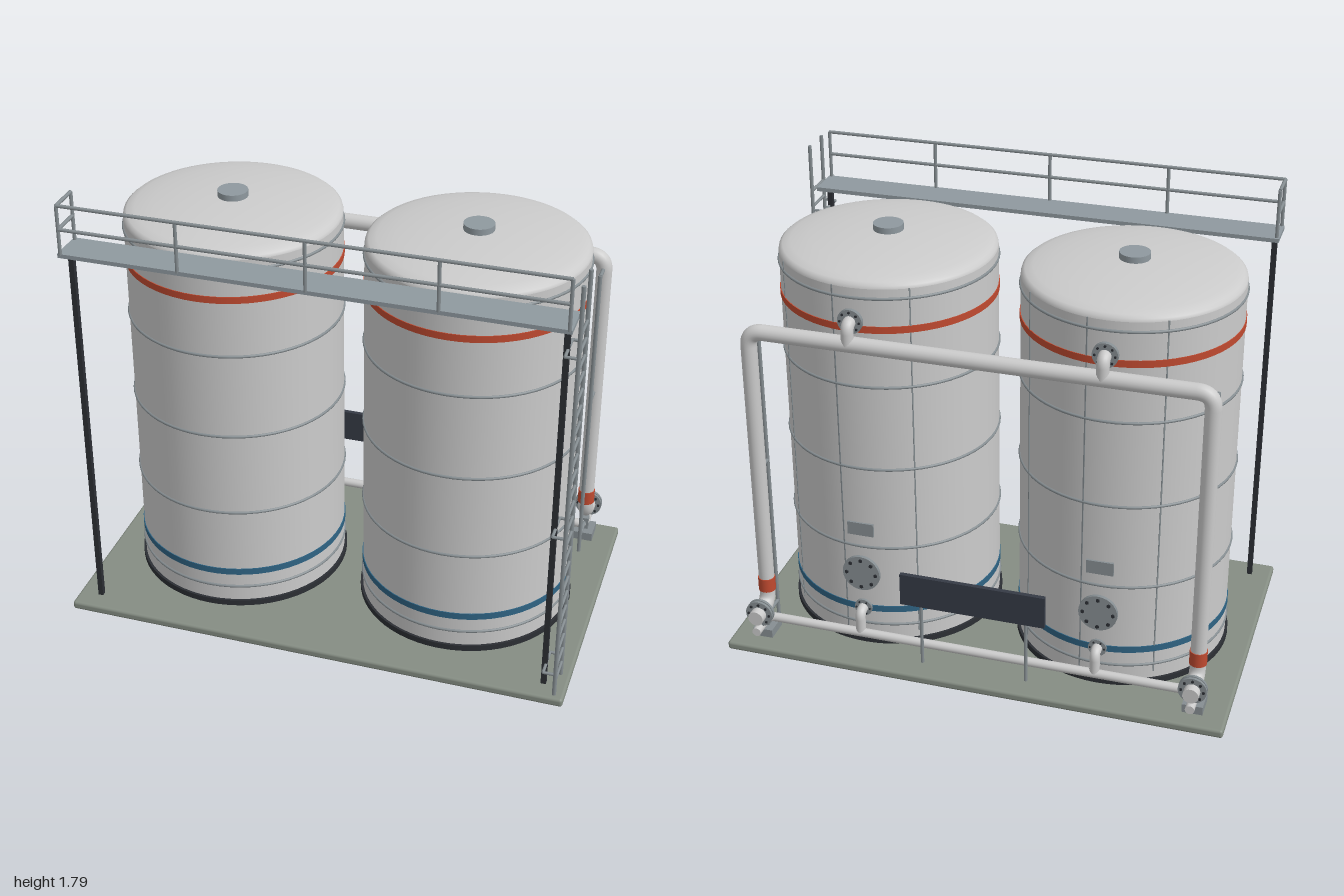
import * as THREE from 'three';
import { RoundedBoxGeometry } from 'three/addons/geometries/RoundedBoxGeometry.js';

const mat = (color) => new THREE.MeshStandardMaterial({ color, side: THREE.DoubleSide });
const M = {
  shell: mat(0xcccccc), pipe: mat(0xc4c8c8), steel: mat(0x868e92), deck: mat(0x8f999f), base: mat(0x858d83),
  dark: mat(0x2c2f34), panel: mat(0x353a45), red: mat(0xc04a30), blue: mat(0x2f6484),
};
const V = (x, y, z) => new THREE.Vector3(x, y, z);

function add(parent, name, geo, material, x = 0, y = 0, z = 0) {
  const m = new THREE.Mesh(geo, material);
  m.name = name;
  m.position.set(x, y, z);
  parent.add(m);
  return m;
}
const box = (p, name, w, h, d, material, x, y, z) =>
  add(p, name, new THREE.BoxGeometry(w, h, d), material, x, y, z);

// Round bar between two points
function rod(p, name, a, b, r, material, sides = 8) {
  const dir = b.clone().sub(a);
  const m = add(p, name, new THREE.CylinderGeometry(r, r, dir.length(), sides), material);
  m.position.copy(a).add(b).multiplyScalar(0.5);
  m.quaternion.setFromUnitVectors(V(0, 1, 0), dir.normalize());
  return m;
}

// Pipe through points, with every corner replaced by a swept elbow
function pipe(p, name, pts, r, bend, material) {
  const g = new THREE.Group();
  g.name = name;
  p.add(g);
  let start = pts[0];
  for (let i = 1; i < pts.length; i++) {
    const end = pts[i].clone();
    if (i < pts.length - 1) {
      const before = end.clone().add(pts[i - 1].clone().sub(end).setLength(bend));
      const after = end.clone().add(pts[i + 1].clone().sub(end).setLength(bend));
      rod(g, 'pipeRun', start, before, r, material, 20);
      const curve = new THREE.QuadraticBezierCurve3(before, end, after);
      add(g, 'elbow', new THREE.TubeGeometry(curve, 10, r, 20), material);
      start = after;
    } else rod(g, 'pipeRun', start, end, r, material, 20);
  }
  return g;
}

// Bolted disc facing the back
function flange(p, name, x, y, z, r, thick, bolts) {
  const g = new THREE.Group();
  g.name = name;
  g.position.set(x, y, z);
  p.add(g);
  rod(g, 'flangeDisc', V(0, 0, thick / 2), V(0, 0, -thick / 2), r, M.steel, 28);
  for (let i = 0; i < bolts; i++) {
    const a = (i / bolts) * Math.PI * 2, bx = Math.cos(a) * r * 0.78, by = Math.sin(a) * r * 0.78;
    rod(g, 'bolt', V(bx, by, thick / 2 + 0.005), V(bx, by, -thick / 2 - 0.005), r * 0.1, M.dark, 6);
  }
}

const BASE_Y = 0.035, R = 0.415, PIPE_Z = -0.453;

function tank(x) {
  const g = new THREE.Group();
  g.name = 'tank';
  g.position.x = x;
  // Shell with domed roof
  const profile = [[0, BASE_Y], [R, BASE_Y], [R, BASE_Y], [R, 1.578], [R, 1.578], [0.412, 1.59], [0.4, 1.6],
    [0.37, 1.61], [0.3, 1.623], [0.2, 1.634], [0.1, 1.64], [0, 1.642]].map(([r, y]) => new THREE.Vector2(r, y));
  add(g, 'shell', new THREE.LatheGeometry(profile, 64), M.shell);
  add(g, 'roofHatch', new THREE.CylinderGeometry(0.058, 0.058, 0.03, 32), M.deck, 0, 1.65, 0);
  add(g, 'footRing', new THREE.CylinderGeometry(0.425, 0.425, 0.025, 64), M.dark, 0, 0.0475, 0);
  // Painted bands and stiffening hoops
  const band = (name, y, h, r, m) => add(g, name, new THREE.CylinderGeometry(r, r, h, 64), m, 0, y, 0);
  band('redBand', 1.417, 0.027, 0.4185, M.red);
  band('blueBand', 0.197, 0.027, 0.4185, M.blue);
  for (const y of [0.125, 0.48, 0.83, 1.18, 1.54]) {
    const hoop = add(g, 'hoop', new THREE.TorusGeometry(R, 0.006, 8, 64), M.steel, 0, y, 0);
    hoop.rotation.x = Math.PI / 2;
  }
  // Vertical weld seams on the back
  for (const deg of [-50, -10, 30]) {
    const a = THREE.MathUtils.degToRad(deg);
    const seam = box(g, 'seam', 0.005, 1.49, 0.006, M.steel, -Math.sin(a) * R, 0.835, -Math.cos(a) * R);
    seam.rotation.y = a;
  }
  // Manway, name plate and nozzles
  rod(g, 'manwayNeck', V(0, 0.364, -0.39), V(0, 0.364, -0.425), 0.06, M.shell, 28);
  flange(g, 'manwayCover', 0, 0.364, -0.427, 0.076, 0.014, 8);
  box(g, 'plate', 0.105, 0.055, 0.01, M.steel, 0, 0.56, -0.417);
  pipe(g, 'upperNozzle', [V(0, 1.45, -0.39), V(0, 1.45, -0.46), V(0, 1.37, -0.46)], 0.024, 0.032, M.pipe);
  flange(g, 'upperNozzleFlange', 0, 1.45, -0.426, 0.048, 0.016, 8);
  pipe(g, 'lowerNozzle', [V(0, 0.2, -0.4), V(0, 0.2, -0.46), V(0, 0.107, -0.46)], 0.02, 0.03, M.pipe);
  flange(g, 'lowerNozzleFlange', 0, 0.2, -0.422, 0.036, 0.01, 6);
  return g;
}

function pipework() {
  const g = new THREE.Group();
  g.name = 'pipework';
  const X = 0.87, end = -0.583;
  // Upper header with a downcomer on each side, and lower header
  pipe(g, 'upperHeader', [V(-X, 0.17, end), V(-X, 0.17, PIPE_Z), V(-X, 1.37, PIPE_Z),
    V(X, 1.37, PIPE_Z), V(X, 0.17, PIPE_Z), V(X, 0.17, end)], 0.031, 0.06, M.pipe);
  pipe(g, 'lowerHeader', [V(-X, 0.107, end), V(-X, 0.107, PIPE_Z - 0.01),
    V(X, 0.107, PIPE_Z - 0.01), V(X, 0.107, end)], 0.018, 0.035, M.pipe);
  for (const s of [-1, 1]) {
    const x = s * X;
    add(g, 'redCollar', new THREE.CylinderGeometry(0.034, 0.034, 0.058, 24), M.red, x, 0.262, PIPE_Z);
    for (const z of [-0.528, -0.543]) flange(g, 'outletFlange', x, 0.17, z, 0.055, 0.011, 8);
    box(g, 'pipeFoot', 0.08, 0.035, 0.095, M.steel, x, 0.066, -0.478);
    box(g, 'pipeFootStem', 0.03, 0.1, 0.03, M.steel, x, 0.085, -0.478);
    // Thin support post with brackets
    rod(g, 'pipePost', V(x, BASE_Y, -0.365), V(x, 1.33, -0.365), 0.008, M.steel);
    for (const y of [0.12, 0.775, 1.325]) rod(g, 'pipeBracket', V(x, y, -0.365), V(x, y, PIPE_Z), 0.008, M.steel);
  }
  return g;
}

function walkway() {
  const g = new THREE.Group();
  g.name = 'walkway';
  const zf = 0.557, zb = 0.435, top = 1.785, mid = 1.692, E = 0.925;
  box(g, 'deck', 1.87, 0.016, 0.14, M.deck, 0, 1.588, 0.491);
  for (const x of [-0.91, 0.91]) box(g, 'supportPost', 0.02, 1.55, 0.02, M.dark, x, 0.81, 0.5);
  // Guard rail along the front, returning at the far end
  for (const x of [-E, -0.475, 0, 0.475, E]) rod(g, 'railPost', V(x, 1.59, zf), V(x, top, zf), 0.007, M.steel);
  rod(g, 'railPost', V(-E, 1.59, zb), V(-E, top, zb), 0.007, M.steel);
  for (const y of [mid, top]) {
    rod(g, 'guardRail', V(-E, y, zf), V(E, y, zf), 0.007, M.steel);
    rod(g, 'endRail', V(-E, y, zf), V(-E, y, zb), 0.007, M.steel);
  }
  return g;
}

function ladder() {
  const g = new THREE.Group();
  g.name = 'ladder';
  const x = 0.962, zs = [0.433, 0.557];
  for (const z of zs) {
    rod(g, 'ladderStile', V(x, BASE_Y, z), V(x, 1.765, z), 0.008, M.steel);
    for (const y of [0.13, 0.75, 1.49]) rod(g, 'standoff', V(0.915, y, z), V(x, y, z), 0.006, M.steel);
  }
  for (const y of [0.13, 0.75, 1.49]) rod(g, 'standoffTie', V(0.915, y, zs[0]), V(0.915, y, zs[1]), 0.006, M.steel);
  for (let i = 0; i < 23; i++) {
    const y = 0.1 + i * 0.067;
    rod(g, 'rung', V(x, y, zs[0]), V(x, y, zs[1]), 0.006, M.steel);
  }
  return g;
}

function signBoard() {
  const g = new THREE.Group();
  g.name = 'signBoard';
  box(g, 'board', 0.575, 0.135, 0.018, M.panel, 0, 0.376, -0.502);
  for (const x of [-0.21, 0.21]) rod(g, 'boardLeg', V(x, BASE_Y, -0.49), V(x, 0.42, -0.49), 0.007, M.steel);
  return g;
}

export function createModel() {
  const model = new THREE.Group();
  model.name = 'twinTankStation';
  add(model, 'basePlate', new RoundedBoxGeometry(2, 0.036, 1.17, 3, 0.012), M.base, 0, 0.018, 0);
  model.add(tank(-0.475), tank(0.475), pipework(), walkway(), ladder(), signBoard());
  return model;
}
